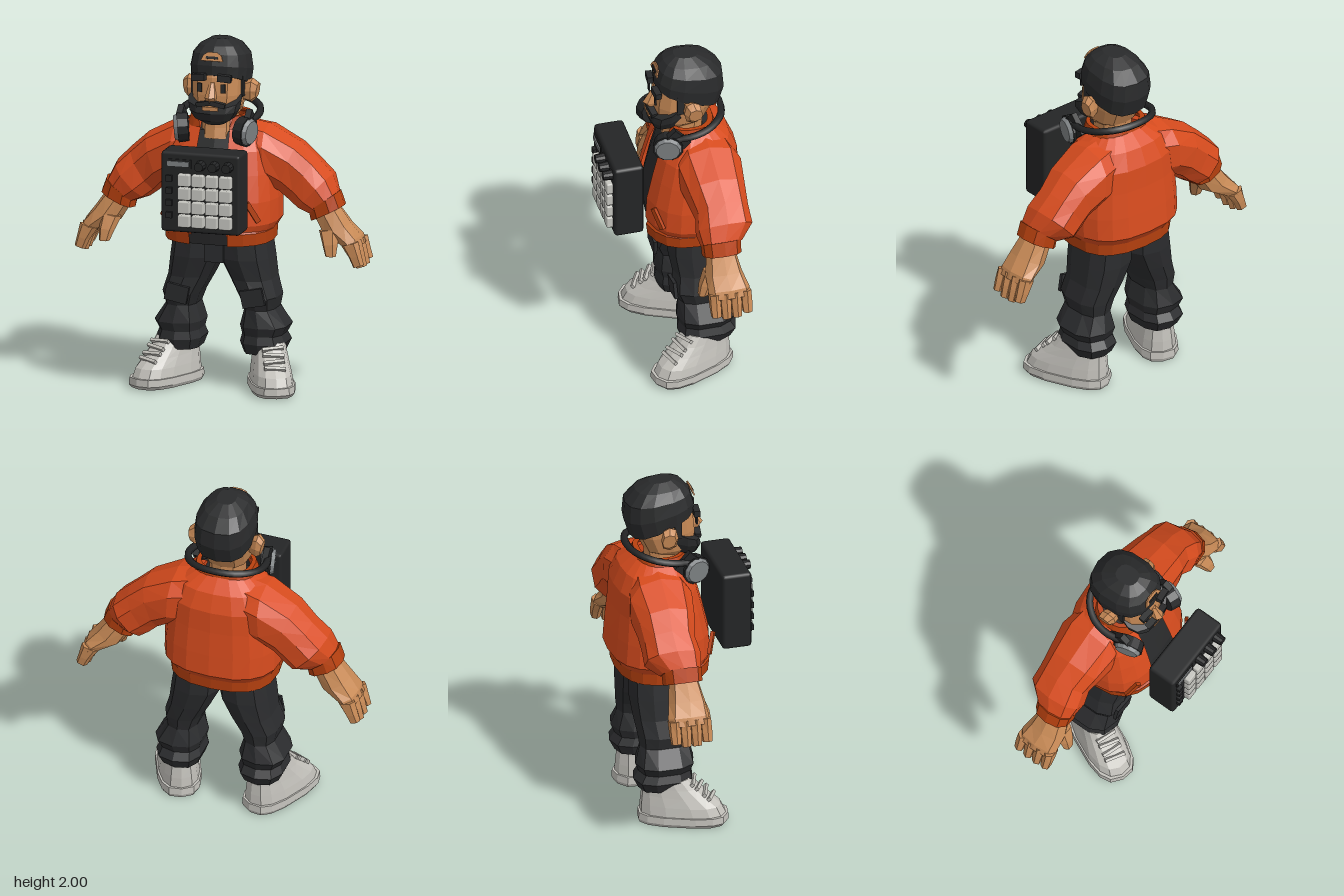
import * as THREE from 'three';
import { RoundedBoxGeometry } from 'three/addons/geometries/RoundedBoxGeometry.js';

const V = (x, y, z) => new THREE.Vector3(x, y, z);
const mat = (name, color, side = THREE.FrontSide) => {
  const m = new THREE.MeshStandardMaterial({ color, side });
  m.name = name;
  return m;
};

// Ring through opposite points a and b with half-width w; gap leaves an opening at a.
function ring(a, b, w, n, p, gap = 0) {
  const c = a.clone().add(b).multiplyScalar(0.5), u = a.clone().sub(c);
  const pw = (t) => Math.sign(t) * Math.pow(Math.abs(t), p);
  const a0 = gap ? Math.asin(Math.pow(gap / w.length(), 1 / p)) : 0;
  const count = gap ? n + 1 : n;
  return Array.from({ length: count }, (_, i) => {
    const t = a0 + (i / n) * (Math.PI * 2 - 2 * a0);
    return c.clone().addScaledVector(u, pw(Math.cos(t))).addScaledVector(w, pw(Math.sin(t)));
  });
}

// Faceted skin over rings; closed skins get end caps and are turned outward.
function loft(rings, open = false) {
  const n = rings[0].length, tris = [];
  for (let r = 0; r < rings.length - 1; r++) {
    for (let i = 0; i < (open ? n - 1 : n); i++) {
      const j = (i + 1) % n, A = rings[r], B = rings[r + 1];
      tris.push([A[i], A[j], B[j]], [A[i], B[j], B[i]]);
    }
  }
  if (!open) {
    const cap = (R, flip) => {
      const c = R.reduce((s, q) => s.add(q), V(0, 0, 0)).divideScalar(n);
      R.forEach((q, i) => tris.push(flip ? [c, R[(i + 1) % n], q] : [c, q, R[(i + 1) % n]]));
    };
    cap(rings[0], true);
    cap(rings[rings.length - 1], false);
  }
  const vol = tris.reduce((s, [a, b, c]) => s + a.dot(b.clone().cross(c)), 0);
  const pts = tris.flatMap(([a, b, c]) => (vol < 0 ? [a, c, b] : [a, b, c]));
  const g = new THREE.BufferGeometry().setFromPoints(pts);
  g.computeVertexNormals();
  return g;
}

// Level or tilted body rings: [zFront, yFront, zBack, yBack, halfX]
const body = (rows, n, p) => loft(rows.map(([zf, yf, zb, yb, hx]) => ring(V(0, yf, zf), V(0, yb, zb), V(hx, 0, 0), n, p)));
// Limb rings: [xOuter, yOuter, xInner, yInner, zCentre, halfZ]
const limb = (s, rows, n = 8, p = 0.8) => loft(rows.map(([xo, yo, xi, yi, z, hz]) =>
  ring(V(s * xo, yo, z), V(s * xi, yi, z), V(0, 0, hz), n, p)));

export function createModel() {
  const model = new THREE.Group();
  model.name = 'figure';
  const orange = mat('jacket orange', 0xd84c1e, THREE.DoubleSide);
  const rust = mat('jacket trim', 0xb8410f, THREE.DoubleSide);
  const skin = mat('skin', 0xc88a56);
  const black = mat('hair and cap black', 0x292a2b);
  const denim = mat('trouser charcoal', 0x2b2c2e);
  const plastic = mat('device black', 0x242526);
  const pale = mat('shoe grey', 0xc3c1bb);
  const padGrey = mat('pad grey', 0xc6c6c0);
  const metal = mat('metal grey', 0x7f8385);

  const add = (name, geo, m, pos = [0, 0, 0], rot = [0, 0, 0], parent = model) => {
    const mesh = new THREE.Mesh(geo, m);
    mesh.name = name;
    mesh.position.set(...pos);
    mesh.rotation.set(...rot);
    parent.add(mesh);
    return mesh;
  };
  const box = (x, y, z) => new THREE.BoxGeometry(x, y, z);
  const disc = (r1, r2, h, n) => {
    const g = new THREE.CylinderGeometry(r1, r2, h, n).toNonIndexed();
    g.computeVertexNormals();
    return g;
  };

  // Jacket: open-fronted shell over a closed shirt. Rows: y, halfX, zFront, zBack, opening
  const coat = [
    [0.91, 0.3, 0.14, -0.365, 0.1], [0.97, 0.335, 0.158, -0.41, 0.1], [1.1, 0.335, 0.15, -0.4, 0.1],
    [1.25, 0.32, 0.115, -0.385, 0.095], [1.38, 0.3, 0.08, -0.378, 0.09], [1.48, 0.25, 0.03, -0.335, 0.085],
    [1.55, 0.15, 0, -0.25, 0.08],
  ];
  const shell = (rows, p = 0.78) => loft(rows.map(([y, hx, zf, zb, gap]) =>
    ring(V(0, y, zf), V(0, y, zb), V(hx, 0, 0), 18, p, gap)), true);
  add('jacketBody', shell(coat), orange);
  add('jacketHem', shell([[0.855, 0.305, 0.152, -0.37, 0.11], [0.925, 0.31, 0.16, -0.375, 0.11], [0.94, 0.3, 0.145, -0.36, 0.1]]), rust);
  add('jacketCollar', shell([[1.5, 0.19, 0.035, -0.27, 0.085], [1.57, 0.165, 0.02, -0.25, 0.1], [1.57, 0.14, 0, -0.22, 0.09]]), rust);
  add('shirt', body(coat.slice(0, 6).map(([y, hx, zf, zb]) => [zf - 0.03, y === 0.91 ? 0.85 : y, zb + 0.03, y === 0.91 ? 0.85 : y, hx - 0.03]), 18, 0.78), black);
  add('neck', body([[0.035, 1.44, -0.2, 1.44, 0.1], [0.02, 1.5, -0.2, 1.52, 0.1], [0, 1.62, -0.2, 1.62, 0.1]], 10, 0.9), skin);

  // Head, beard and cap
  add('head', body([
    [0.06, 1.54, -0.12, 1.54, 0.08], [0.085, 1.6, -0.2, 1.58, 0.125], [0.088, 1.7, -0.25, 1.68, 0.145],
    [0.078, 1.8, -0.27, 1.78, 0.147], [0.04, 1.9, -0.25, 1.9, 0.13],
  ], 12, 0.75), skin);
  add('beard', body([
    [0.055, 1.525, -0.04, 1.55, 0.06], [0.1, 1.555, -0.07, 1.585, 0.115], [0.118, 1.6, -0.085, 1.65, 0.147],
    [0.108, 1.635, -0.08, 1.72, 0.155],
  ], 12, 0.78), black);
  add('cap', body([
    [0.078, 1.815, -0.285, 1.675, 0.16], [0.08, 1.87, -0.318, 1.78, 0.168], [0.06, 1.93, -0.31, 1.88, 0.155],
    [0.025, 1.97, -0.25, 1.95, 0.115], [-0.035, 2, -0.17, 1.99, 0.055],
  ], 14, 0.78), black);
  const arch = new THREE.Shape().moveTo(-0.065, 0).lineTo(0.065, 0).lineTo(0.05, 0.035).lineTo(0.025, 0.05)
    .lineTo(-0.025, 0.05).lineTo(-0.05, 0.035).closePath();
  add('capOpening', new THREE.ExtrudeGeometry(arch, { depth: 0.008, bevelEnabled: false }), skin, [0, 1.895, 0.073], [-0.33, 0, 0]);
  add('capStrap', box(0.07, 0.014, 0.012), black, [0, 1.915, 0.074], [-0.33, 0, 0]);
  add('nose', loft([
    ring(V(0, 1.775, 0.092), V(0, 1.775, 0.05), V(0.016, 0, 0), 6, 1),
    ring(V(0, 1.695, 0.143), V(0, 1.695, 0.06), V(0.034, 0, 0), 6, 1),
    ring(V(0, 1.665, 0.115), V(0, 1.665, 0.06), V(0.026, 0, 0), 6, 1),
  ]), skin);
  add('mouth', box(0.09, 0.022, 0.03), skin, [0, 1.631, 0.106]);

  // Arm-worn and paired parts
  for (const s of [1, -1]) {
    const side = s > 0 ? 'left' : 'right';
    const put = (name, geo, m, pos, rot, parent) => add(side + name, geo, m, pos, rot, parent);

    put('Eye', box(0.026, 0.05, 0.008), black, [s * 0.068, 1.745, 0.088]);
    put('Eyebrow', box(0.078, 0.038, 0.035), black, [s * 0.075, 1.803, 0.083], [0, s * 0.1, s * -0.08]);
    put('Moustache', box(0.085, 0.026, 0.035), black, [s * 0.04, 1.656, 0.1], [0, s * 0.15, s * -0.22]);
    put('Sideburn', box(0.012, 0.12, 0.04), black, [s * 0.145, 1.74, -0.04]);
    put('Ear', limb(s, [[0.13, 1.75, 0.13, 1.65, -0.09, 0.035], [0.185, 1.775, 0.18, 1.635, -0.1, 0.05], [0.218, 1.745, 0.205, 1.66, -0.11, 0.04]]), skin);

    // Sleeve, cuff and hand
    put('Sleeve', limb(s, [
      [0.13, 1.53, 0.15, 1.16, -0.17, 0.16], [0.26, 1.505, 0.28, 1.16, -0.175, 0.185], [0.44, 1.41, 0.34, 1.12, -0.18, 0.165],
      [0.54, 1.32, 0.385, 1.075, -0.19, 0.15], [0.625, 1.235, 0.44, 1.035, -0.185, 0.16], [0.668, 1.14, 0.505, 1.015, -0.155, 0.115],
    ], 10), orange);
    put('Cuff', limb(s, [[0.675, 1.15, 0.505, 1.03, -0.15, 0.112], [0.705, 1.07, 0.515, 0.975, -0.15, 0.108]], 10), rust);
    put('Palm', limb(s, [
      [0.68, 1.06, 0.54, 0.99, -0.145, 0.085], [0.745, 0.97, 0.595, 0.9, -0.145, 0.105],
      [0.8, 0.9, 0.69, 0.855, -0.155, 0.118], [0.815, 0.855, 0.735, 0.825, -0.155, 0.118],
    ]), skin);
    for (let f = 0; f < 4; f++) {
      const z = -0.065 - f * 0.06, tip = [0.735, 0.718, 0.72, 0.74][f];
      put('Finger' + (f + 1), limb(s, [
        [0.81, 0.885, 0.71, 0.855, z, 0.031], [0.828, 0.81, 0.755, 0.79, z, 0.032], [0.842, tip + 0.02, 0.78, tip, z, 0.027],
      ], 6), skin);
    }
    put('Thumb', limb(s, [
      [0.69, 0.95, 0.575, 0.93, -0.085, 0.045], [0.695, 0.87, 0.605, 0.86, -0.05, 0.04], [0.69, 0.8, 0.628, 0.8, -0.028, 0.028],
    ], 6), skin);
    put('Pocket', box(0.03, 0.13, 0.02), rust, [s * 0.25, 1.055, 0.12], [0, s * 0.6, s * 0.55]);

    // Trouser leg: y, xInner, xOuter, zFront, zBack
    const leg = [
      [0.92, -0.01, 0.265, 0.04, -0.33], [0.75, -0.005, 0.29, 0.04, -0.33], [0.63, 0.055, 0.305, 0.02, -0.315],
      [0.53, 0.11, 0.335, 0.03, -0.3], [0.46, 0.138, 0.32, 0, -0.29], [0.36, 0.11, 0.387, 0.015, -0.32],
      [0.31, 0.122, 0.36, 0, -0.3], [0.265, 0.108, 0.378, 0.01, -0.33], [0.205, 0.13, 0.35, -0.01, -0.3],
    ];
    put('TrouserLeg', loft(leg.map(([y, xi, xo, zf, zb]) => ring(
      V(s * (xi + xo) / 2, y, zf), V(s * (xi + xo) / 2, y, zb), V((xo - xi) / 2, 0, 0), 10, 0.75))), denim);
    put('KneePatch', box(0.13, 0.1, 0.02), denim, [s * 0.22, 0.54, 0.026], [0.05, 0, s * 0.2]);

    // Shoe, toes turned out
    const shoe = new THREE.Group();
    shoe.name = side + 'Shoe';
    shoe.position.set(s * 0.305, 0, -0.06);
    shoe.rotation.y = s * 0.42;
    model.add(shoe);
    put('Sole', body([[0.24, 0.005, -0.25, 0, 0.115], [0.258, 0.025, -0.258, 0.02, 0.127], [0.255, 0.065, -0.255, 0.06, 0.125]], 14, 0.7), pale, [0, 0, 0], [0, 0, 0], shoe);
    put('ShoeUpper', body([
      [0.243, 0.06, -0.245, 0.06, 0.117], [0.215, 0.115, -0.242, 0.12, 0.11], [0.15, 0.165, -0.235, 0.18, 0.1],
      [0.09, 0.215, -0.23, 0.23, 0.093], [0.04, 0.275, -0.22, 0.25, 0.088],
    ], 14, 0.78), pale, [0, 0, 0], [0, 0, 0], shoe);
    for (let i = 0; i < 4; i++) {
      put('Lace' + (i + 1), box(0.12, 0.018, 0.022), pale, [0, 0.16 + i * 0.03, 0.16 - i * 0.034], [-0.8, 0, i % 2 ? 0.1 : -0.1], shoe);
    }

    // Headphone cup facing outward and slightly forward
    const cup = new THREE.Group();
    cup.name = side + 'HeadphoneCup';
    cup.position.set(s * 0.185, 1.5, 0.045);
    cup.quaternion.setFromUnitVectors(V(0, 1, 0), V(s * 0.94, -0.08, 0.26).normalize());
    model.add(cup);
    put('EarCushion', disc(0.086, 0.08, 0.06, 12), plastic, [0, -0.008, 0], [0, 0, 0], cup);
    put('CupShell', disc(0.066, 0.078, 0.022, 12), metal, [0, 0.032, 0], [0, 0, 0], cup);
    put('CupArm', box(0.035, 0.13, 0.07), plastic, [s * 0.198, 1.55, -0.01], [0.75, 0, 0]);
  }
  add('trouserFly', box(0.11, 0.15, 0.02), denim, [0, 0.81, 0.035]);

  // Headphone band resting behind the neck
  const half = [[0.205, 1.555, 0], [0.222, 1.57, -0.09], [0.2, 1.59, -0.19], [0.12, 1.61, -0.275]];
  const path = [...half, [0, 1.615, -0.3], ...half.slice().reverse().map(([x, y, z]) => [-x, y, z])];
  add('headphoneBand', new THREE.TubeGeometry(new THREE.CatmullRomCurve3(path.map((q) => V(...q))), 24, 0.021, 6), plastic);

  // Pad controller floating in front of the chest
  const pad = new THREE.Group();
  pad.name = 'padController';
  pad.position.set(0.02, 1.205, 0);
  model.add(pad);
  add('controllerCase', new RoundedBoxGeometry(0.46, 0.46, 0.17, 1, 0.018), plastic, [0, 0, 0.285], [0, 0, 0], pad);
  for (let r = 0; r < 4; r++) {
    for (let c = 0; c < 4; c++) {
      add('pad', new RoundedBoxGeometry(0.072, 0.07, 0.045, 1, 0.008), padGrey, [-0.088 + c * 0.08, -0.158 + r * 0.078, 0.382], [0, 0, 0], pad);
    }
    add('sideButton', box(0.034, 0.034, 0.03), plastic, [-0.178, -0.13 + r * 0.07, 0.375], [0, 0, 0], pad);
  }
  for (let k = 0; k < 3; k++) {
    add('knob', disc(0.026, 0.031, 0.06, 10), plastic, [0.005 + k * 0.08, 0.163, 0.393], [Math.PI / 2, 0, 0], pad);
  }
  add('screenFrame', box(0.15, 0.05, 0.02), plastic, [-0.125, 0.165, 0.366], [0, 0, 0], pad);
  add('screen', box(0.125, 0.027, 0.008), metal, [-0.125, 0.165, 0.379], [0, 0, 0], pad);
  return model;
}
